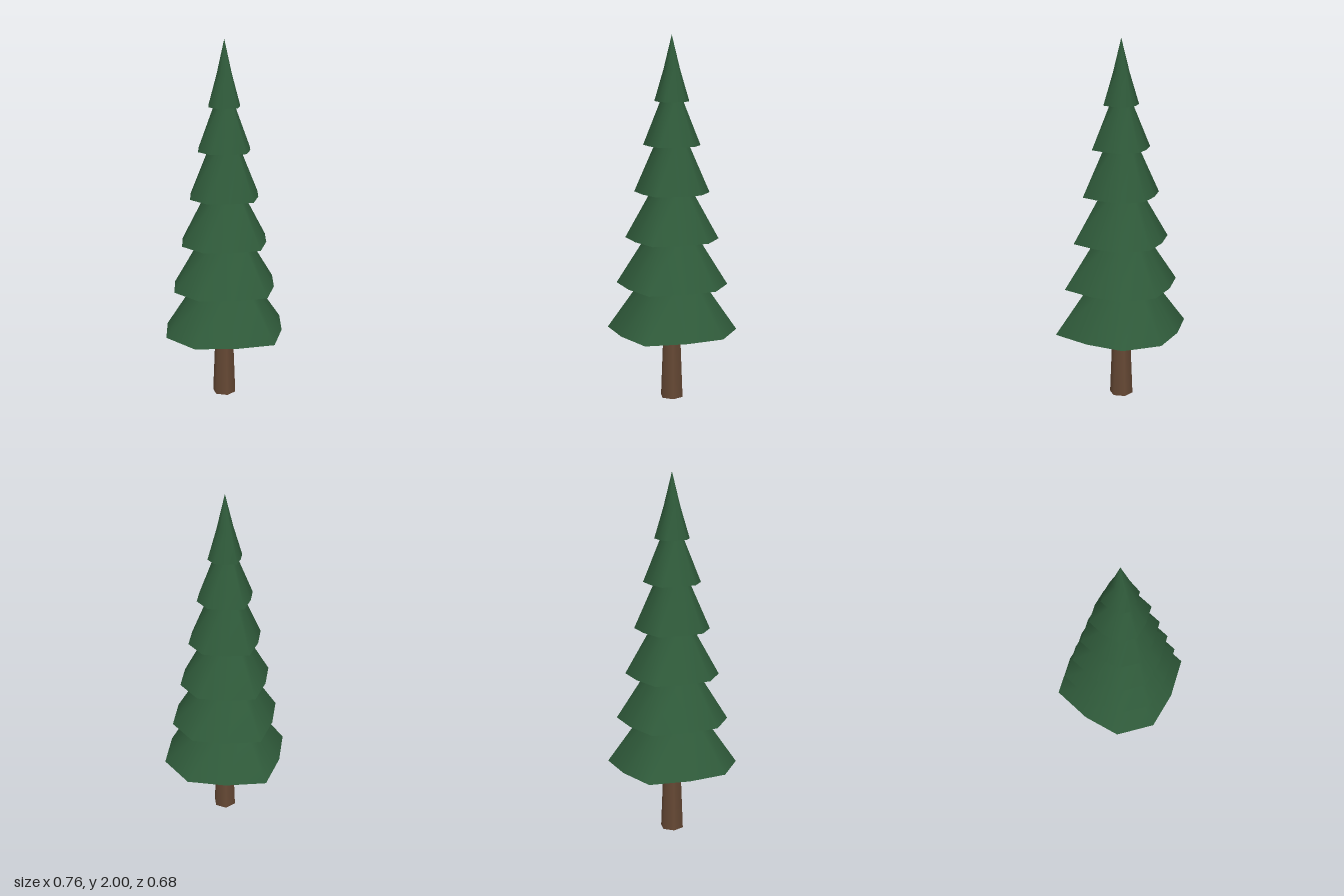
import * as THREE from 'three';

// Ten-sided outline of the foliage, as fractions of its x radius
const quarter = [[0.69, 0.5], [0.29, 0.895]];
const outline = [
  [1, 0], ...quarter,
  ...quarter.map(([x, z]) => [-x, z]).reverse(),
  [-1, 0],
  ...quarter.map(([x, z]) => [-x, -z]),
  ...quarter.map(([x, z]) => [x, -z]).reverse(),
];

// Skin through scaled copies of the outline; rings are [radius, height]
function loft(rings, inward = false) {
  const n = outline.length;
  const positions = [];
  const index = [];
  for (const [r, y] of rings) {
    for (const [x, z] of outline) positions.push(x * r, y, z * r);
  }
  for (let i = 0; i < rings.length - 1; i++) {
    for (let j = 0; j < n; j++) {
      const a = i * n + j;
      const b = i * n + (j + 1) % n;
      const c = a + n;
      const d = b + n;
      if (inward) index.push(a, b, c, b, d, c);
      else index.push(a, c, b, b, c, d);
    }
  }
  const geometry = new THREE.BufferGeometry();
  geometry.setAttribute('position', new THREE.Float32BufferAttribute(positions, 3));
  geometry.setIndex(index);
  geometry.computeVertexNormals();
  return geometry;
}

export function createModel() {
  const tree = new THREE.Group();
  tree.name = 'pineTree';

  const needleGreen = new THREE.MeshStandardMaterial({ color: 0x2f5a3a });
  needleGreen.name = 'needle green';
  const barkBrown = new THREE.MeshStandardMaterial({ color: 0x654834 });
  barkBrown.name = 'bark brown';

  // Tapered six-sided trunk reaching into the lowest tier
  const trunk = new THREE.Mesh(new THREE.CylinderGeometry(0.042, 0.065, 0.58, 6), barkBrown);
  trunk.name = 'trunk';
  trunk.position.y = 0.29;
  tree.add(trunk);

  // Tiers: [rim radius, rim height, radius where the next tier starts]
  const tiers = [
    [0.38, 0.395, 0.19],
    [0.325, 0.65, 0.155],
    [0.272, 0.905, 0.122],
    [0.218, 1.16, 0.1],
    [0.165, 1.415, 0.066],
    [0.1, 1.65, 0],
  ];
  tiers.forEach(([rim, y, top], i) => {
    const tier = new THREE.Group();
    tier.name = `foliageTier${i + 1}`;
    const next = tiers[i + 1];

    // Sloping skirt, run on a little under the tier above; the last closes to a tip
    const rings = next
      ? [[rim, y], [top, next[1]], [top * 0.75, next[1] + 0.06]]
      : [[rim, y], [0.047, 1.82], [0.0005, 2]];
    const skirt = new THREE.Mesh(loft(rings), needleGreen);
    skirt.name = 'skirt';

    // Hollowed underside
    const under = i === 0
      ? [[rim, y], [rim * 0.72, y + 0.08], [0.03, y + 0.14]]
      : [[rim, y], [tiers[i - 1][2] * 0.75, y + 0.05]];
    const underside = new THREE.Mesh(loft(under, true), needleGreen);
    underside.name = 'underside';

    tier.add(skirt, underside);
    tree.add(tier);
  });

  return tree;
}
